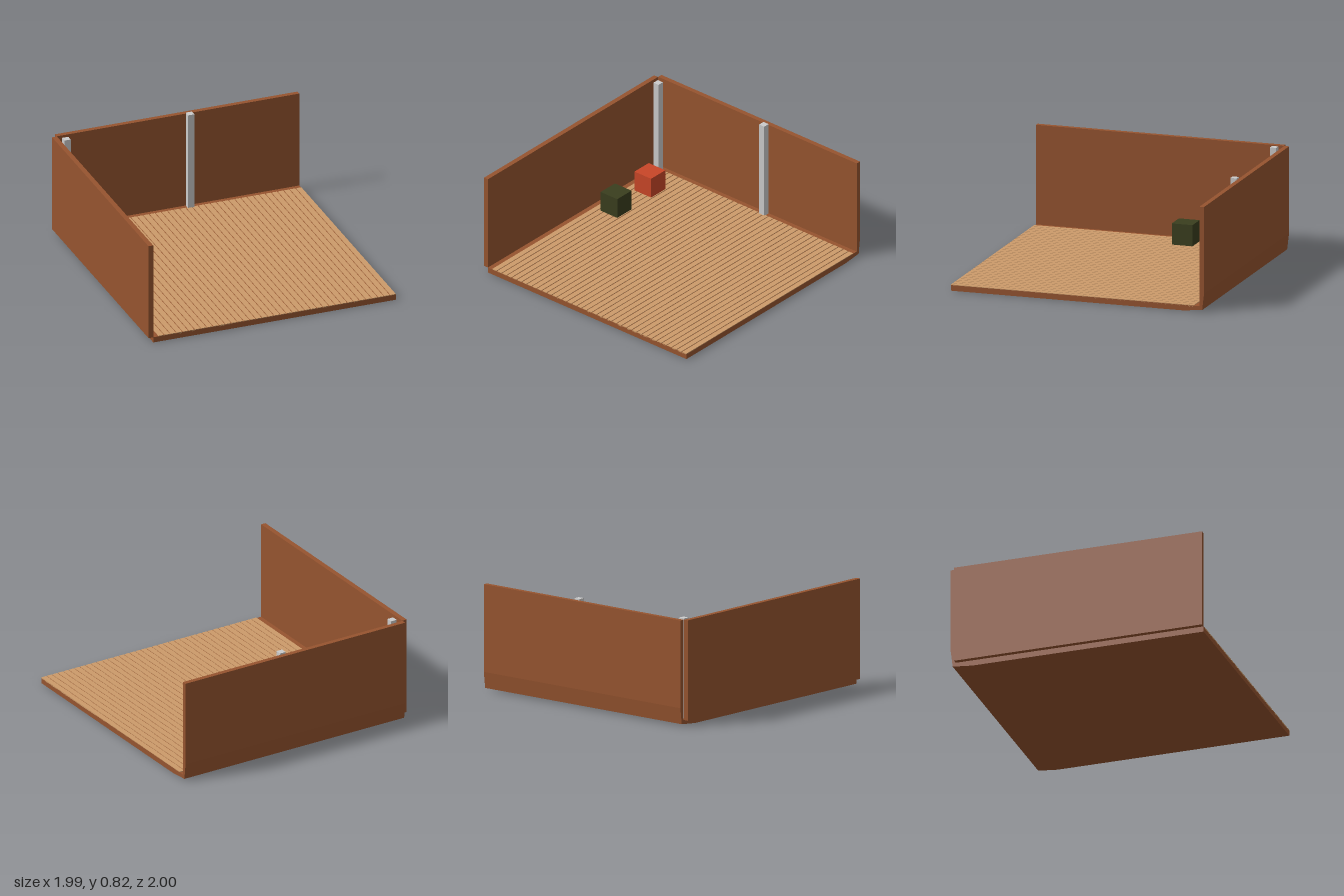
import * as THREE from 'three';

const material = (color) => new THREE.MeshStandardMaterial({ color, flatShading: true });

export function createModel() {
  const group = new THREE.Group();
  const brown = material(0x96542f);
  const wood = material(0xcc9b6a);
  const grey = material(0xcccccc);
  const red = material(0xc94628);
  const green = material(0x3a3e1e);

  // Box given by its lower and upper corner
  function box(name, mat, [x0, y0, z0], [x1, y1, z1]) {
    const mesh = new THREE.Mesh(new THREE.BoxGeometry(x1 - x0, y1 - y0, z1 - z0), mat);
    mesh.position.set((x0 + x1) / 2, (y0 + y1) / 2, (z0 + z1) / 2);
    mesh.name = name;
    group.add(mesh);
  }

  const floorY = 0.043;
  const left = -0.955;
  const right = 0.993;

  // Floor and back wall share one L-shaped section with a bevelled heel
  const section = new THREE.Shape([
    [-1, 0], [0.83, 0], [0.985, 0.015], [1, 0.14],
    [1, 0.81], [0.963, 0.81], [0.963, floorY], [-1, floorY],
  ].map(([x, y]) => new THREE.Vector2(x, y)));
  const shell = new THREE.ExtrudeGeometry(section, { depth: right - left, bevelEnabled: false });
  shell.rotateY(Math.PI / 2).translate(left, 0, 0);
  const floorAndBackWall = new THREE.Mesh(shell, brown);
  floorAndBackWall.name = 'floorAndBackWall';
  group.add(floorAndBackWall);

  // Side wall stands just outside the floor edge
  box('sideWall', brown, [-0.993, floorY, -0.96], [left, 0.81, 1]);

  // Floor planks with narrow gaps
  const count = 39;
  const start = -0.92;
  const pitch = (right - start) / count;
  const gap = 0.008;
  for (let i = 0; i < count; i++) {
    const x = start + i * pitch;
    box('plank', wood, [x + gap, 0.036, -0.92], [x + pitch, 0.048, 1]);
  }

  // Posts: one in the corner, one against the back wall
  box('cornerPost', grey, [-0.927, floorY, -0.925], [-0.877, 0.81, -0.875]);
  box('wallPost', grey, [0.08, floorY, -0.96], [0.13, 0.82, -0.91]);

  // Crates
  box('redCrate', red, [-0.843, 0.05, -0.722], [-0.68, 0.213, -0.558]);
  box('greenCrate', green, [-0.843, 0.05, -0.332], [-0.68, 0.213, -0.168]);

  return group;
}
